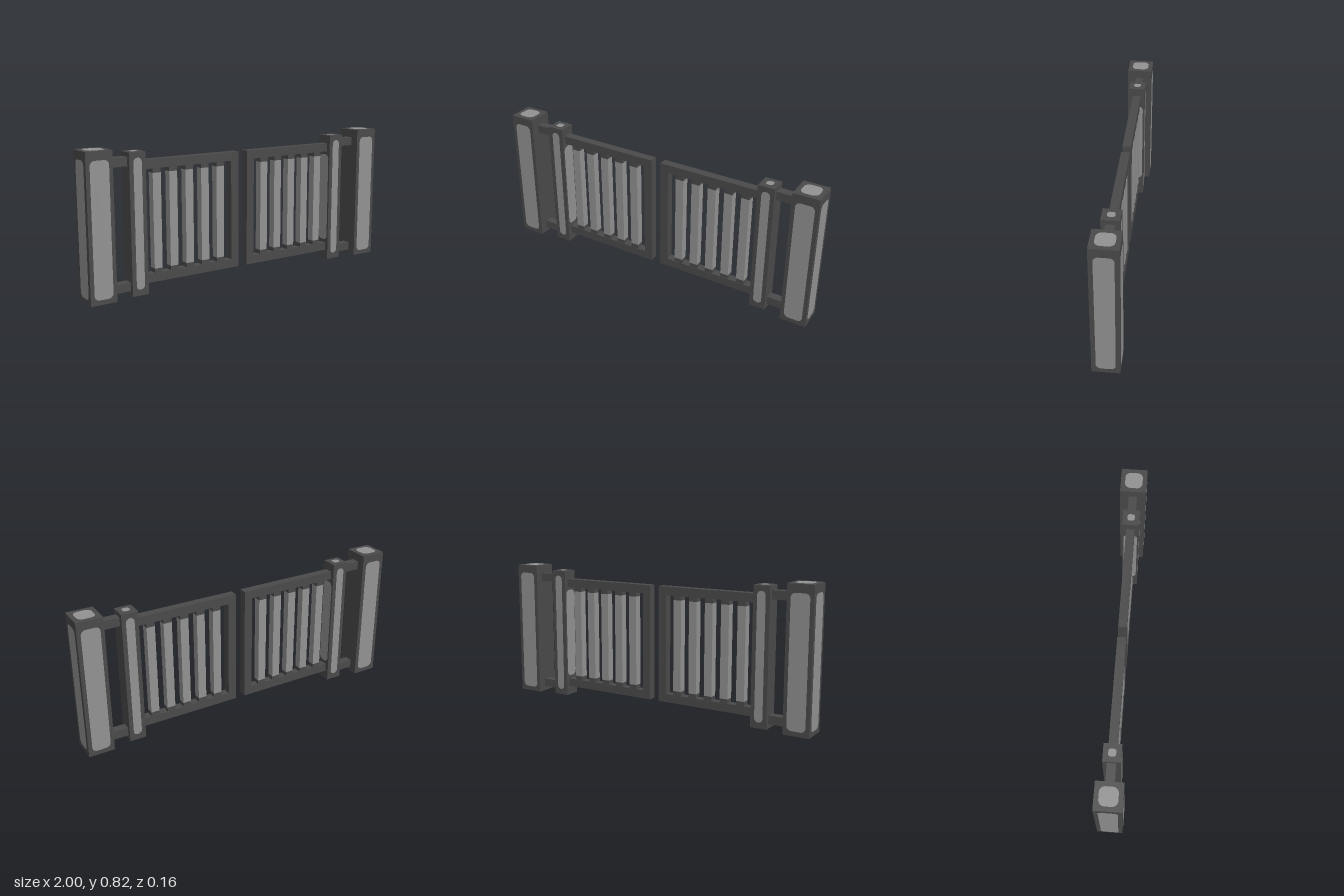
import * as THREE from 'three';

const dark = new THREE.MeshStandardMaterial({ color: 0x4a4a4a });
dark.name = 'dark grey';
const light = new THREE.MeshStandardMaterial({ color: 0x929292 });
light.name = 'light grey';

function box(parent, name, mat, w, h, d, x, y, z = 0) {
  const m = new THREE.Mesh(new THREE.BoxGeometry(w, h, d), mat);
  m.name = name;
  m.position.set(x, y, z);
  parent.add(m);
}

// Flat rounded face, facing +z before it is turned
function panel(parent, name, w, h, r, position, rx = 0, ry = 0) {
  const a = w / 2, b = h / 2;
  const s = new THREE.Shape();
  s.moveTo(a - r, -b);
  s.absarc(a - r, -b + r, r, -Math.PI / 2, 0);
  s.absarc(a - r, b - r, r, 0, Math.PI / 2);
  s.absarc(-a + r, b - r, r, Math.PI / 2, Math.PI);
  s.absarc(-a + r, -b + r, r, Math.PI, Math.PI * 1.5);
  const m = new THREE.Mesh(new THREE.ShapeGeometry(s, 5), light);
  m.name = name;
  m.position.set(...position);
  m.rotation.set(rx, ry, 0);
  parent.add(m);
}

// Square post with worn light panels on front, back and top
function post(parent, name, x, size, height, panelW, panelH, panelY, r, topSize) {
  const g = new THREE.Group();
  g.name = name;
  const out = size / 2 + 0.0015;
  box(g, name + 'Block', dark, size, height, size, x, height / 2);
  panel(g, name + 'FrontPanel', panelW, panelH, r, [x, panelY, out]);
  panel(g, name + 'BackPanel', panelW, panelH, r, [x, panelY, -out], 0, Math.PI);
  panel(g, name + 'TopPanel', topSize, topSize, topSize * 0.32, [x, height + 0.0015, 0], -Math.PI / 2);
  parent.add(g);
  return g;
}

function gateHalf(side, s) {
  const g = new THREE.Group();
  g.name = side + 'GateHalf';

  // Outer post, with a panel on its outer side
  const outer = post(g, 'outerPost', s * 0.923, 0.152, 0.82, 0.108, 0.745, 0.4, 0.028, 0.102);
  panel(outer, 'outerPostSidePanel', 0.104, 0.745, 0.028, [s * 1.0, 0.4, 0], 0, s * Math.PI / 2);

  // Hinge post, with a panel facing the leaf
  const hinge = post(g, 'hingePost', s * 0.692, 0.098, 0.795, 0.05, 0.73, 0.4, 0.024, 0.042);
  panel(hinge, 'hingePostInnerPanel', 0.08, 0.55, 0.03, [s * 0.6415, 0.4, 0], 0, -s * Math.PI / 2);

  // Short rails joining the two posts
  for (const y of [0.052, 0.745]) box(g, 'postRail', dark, 0.12, 0.05, 0.05, s * 0.794, y);

  // Leaf frame
  const leaf = new THREE.Group();
  leaf.name = 'leaf';
  for (const y of [0.08, 0.72]) box(leaf, 'leafRail', dark, 0.575, 0.05, 0.05, s * 0.3675, y);
  box(leaf, 'leafStile', dark, 0.05, 0.69, 0.05, s * 0.055, 0.4);

  // Leaf bars: light middle, dark ends
  for (let i = 0; i < 5; i++) {
    const x = s * (0.155 + i * 0.1025);
    box(leaf, 'bar', light, 0.05, 0.54, 0.046, x, 0.4);
    for (const y of [0.1175, 0.6825]) box(leaf, 'barEnd', dark, 0.05, 0.025, 0.046, x, y);
  }
  g.add(leaf);
  return g;
}

export function createModel() {
  const model = new THREE.Group();
  model.name = 'gate';
  model.add(gateHalf('left', 1), gateHalf('right', -1));
  return model;
}
